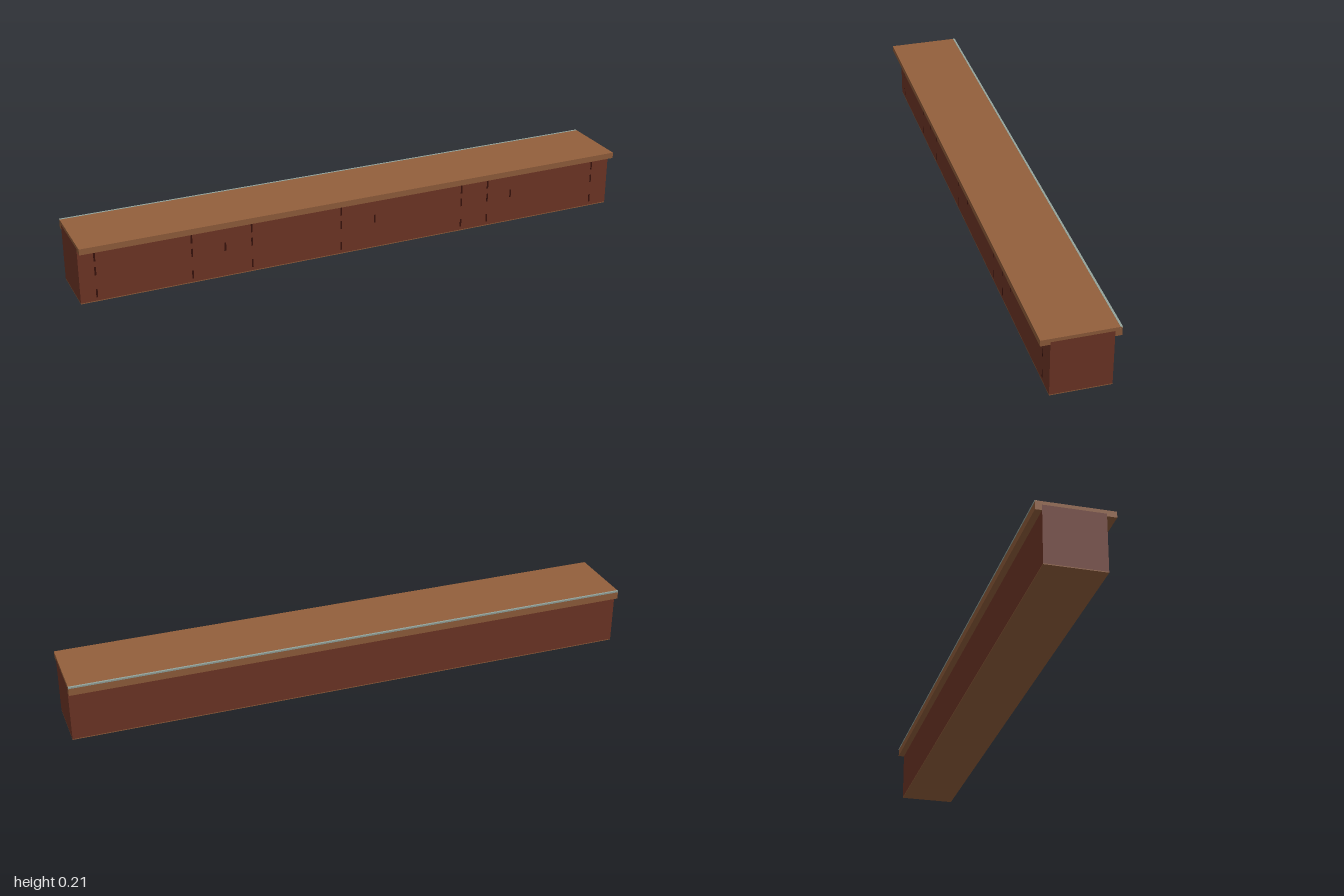
import * as THREE from 'three';

const mat = (name, color) => Object.assign(new THREE.MeshStandardMaterial({ color }), { name });

export function createModel() {
  const group = new THREE.Group();
  const redWood = mat('redWood', 0x703626);
  const brownWood = mat('brownWood', 0x935f3c);
  const darkSeam = mat('darkSeam', 0x3a120c);
  const greyTrim = mat('greyTrim', 0x94a39b);

  // box given by its minimum and maximum corners
  const box = (name, material, [x0, y0, z0], [x1, y1, z1]) => {
    const mesh = new THREE.Mesh(new THREE.BoxGeometry(x1 - x0, y1 - y0, z1 - z0), material);
    mesh.position.set((x0 + x1) / 2, (y0 + y1) / 2, (z0 + z1) / 2);
    mesh.name = name;
    group.add(mesh);
  };

  // counter body and its base plate
  box('body', redWood, [-1, 0.003, -0.105], [1, 0.2, 0.096]);
  box('basePlate', brownWood, [-1, 0, -0.105], [1, 0.003, 0.096]);

  // counter top: one profile with a shallow front lip and a deeper back lip
  const profile = new THREE.Shape([
    [-0.128, 0.191], [-0.096, 0.191], [-0.096, 0.2], [0.105, 0.2],
    [0.105, 0.181], [0.127, 0.181], [0.127, 0.212], [-0.128, 0.212],
  ].map(([z, y]) => new THREE.Vector2(z, y)));
  const topGeometry = new THREE.ExtrudeGeometry(profile, { depth: 2, bevelEnabled: false });
  topGeometry.translate(0, 0, -1).rotateY(Math.PI / 2);
  const top = new THREE.Mesh(topGeometry, brownWood);
  top.name = 'counterTop';
  group.add(top);

  // slim trim along the back edge of the top
  box('backTrim', greyTrim, [-1, 0.207, -0.128], [1, 0.2125, -0.121]);

  // short broken seams in the front boards
  const seams = [-0.945, -0.617, -0.5, -0.405, -0.077, 0.05, 0.39, 0.495, 0.59, 0.93];
  seams.forEach((x, i) => {
    for (const y of i % 3 === 2 ? [0.11] : [0.03, 0.11, 0.16]) {
      box('frontSeam', darkSeam, [x - 0.003, y - 0.015, 0.096], [x + 0.003, y + 0.015, 0.0965]);
    }
  });
  return group;
}
